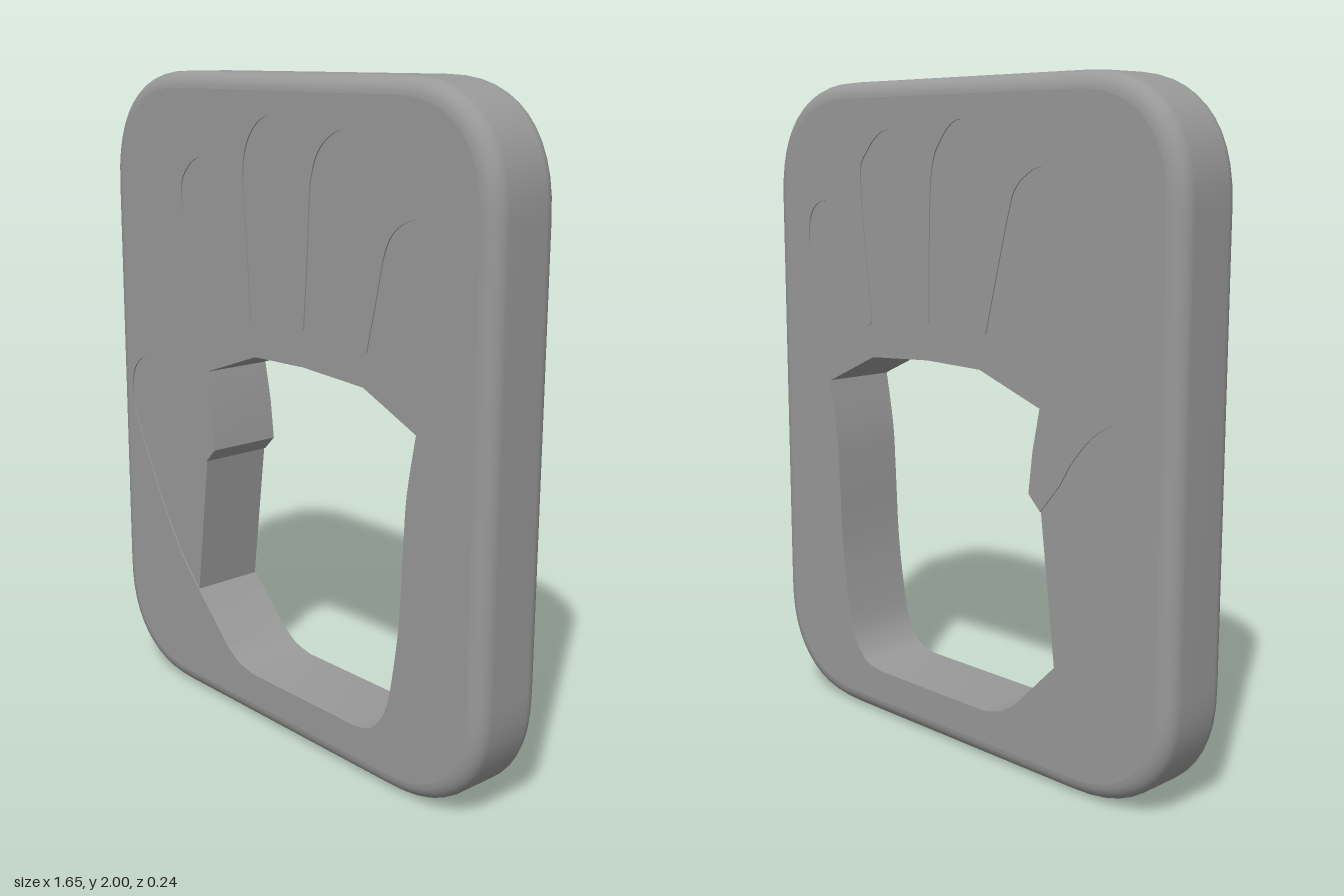
import * as THREE from 'three';
import { toCreasedNormals } from 'three/addons/utils/BufferGeometryUtils.js';

const HALF_DEPTH = 0.12, EDGE = 0.05, FLOOR = 0.116, CORNER = 0.36;
const material = new THREE.MeshStandardMaterial({ color: 0x999999 });
const toPoints = list => list.map(([x, y]) => new THREE.Vector2(x, y));
const curve = (list, n) => new THREE.SplineCurve(toPoints(list)).getPoints(n);

// Plate outline with soft, slightly full corners, counter-clockwise, shrunk by an inset
function plateOutline(inset) {
  const r = CORNER - inset, cx = 0.827 - CORNER, cy = 1 - CORNER, points = [];
  [[1, 1], [-1, 1], [-1, -1], [1, -1]].forEach(([sx, sy], k) => {
    for (let i = 0; i <= 12; i++) {
      const a = (k + i / 12) * Math.PI / 2;
      const u = Math.abs(Math.cos(a)) ** 0.83, v = Math.abs(Math.sin(a)) ** 0.83;
      points.push(new THREE.Vector2(sx * (cx + r * u), 1 + sy * (cy + r * v)));
    }
  });
  return points;
}

// Skin over closed rings of equal length, listed in order of rising z
function loft(rings) {
  const n = rings[0].points.length, position = [], index = [];
  rings.forEach(({ points, z }) => points.forEach(p => position.push(p.x, p.y, z)));
  for (let k = 0; k < rings.length - 1; k++) {
    for (let i = 0; i < n; i++) {
      const a = k * n + i, b = k * n + (i + 1) % n;
      index.push(a, b, a + n, b, b + n, a + n);
    }
  }
  const g = new THREE.BufferGeometry();
  g.setAttribute('position', new THREE.Float32BufferAttribute(position, 3));
  g.setIndex(index);
  g.computeVertexNormals();
  return g;
}

// Flat sheet facing +z (side 1) or -z (side -1)
function sheet(points, z, side, hole) {
  const shape = new THREE.Shape(points);
  if (hole) shape.holes.push(new THREE.Path(hole));
  const g = new THREE.ShapeGeometry(shape);
  if (side < 0) {
    const id = g.index.array;
    for (let i = 0; i < id.length; i += 3) [id[i], id[i + 1]] = [id[i + 1], id[i]];
  }
  g.translate(0, 0, z * side);
  g.computeVertexNormals();
  return g;
}

export function createModel() {
  const model = new THREE.Group();
  model.name = 'handPlate';
  const add = (name, geometry) => {
    const mesh = new THREE.Mesh(geometry, material);
    mesh.name = name;
    model.add(mesh);
  };

  // Through opening, clockwise: top knuckles, right and bottom, thumb side
  const knuckles = toPoints([[-0.35, 1.09], [-0.11, 1.175], [0.11, 1.18], [0.36, 1.165], [0.57, 1.07]]);
  const lower = [
    ...curve([[0.57, 1.07], [0.54, 0.9], [0.53, 0.75], [0.52, 0.55], [0.505, 0.42], [0.48, 0.28],
      [0.45, 0.21], [0.405, 0.165], [0.34, 0.15]], 32).slice(1),
    ...curve([[-0.13, 0.15], [-0.2, 0.167], [-0.26, 0.205]], 6),
    new THREE.Vector2(-0.41, 0.355)];
  const notch = toPoints([[-0.355, 0.8], [-0.31, 0.845], [-0.325, 0.97]]);
  const opening = [...knuckles, ...lower, ...notch];

  // Shallow finger and thumb outlines, joined in the same direction
  const fingers = [
    [[-0.35, 1.09], [-0.41, 1.36], [-0.46, 1.62], [-0.43, 1.71], [-0.35, 1.75], [-0.26, 1.7], [-0.22, 1.6], [-0.138, 1.28]],
    [[-0.126, 1.277], [-0.14, 1.5], [-0.155, 1.73], [-0.11, 1.84], [-0.03, 1.88], [0.045, 1.825], [0.09, 1.7], [0.1, 1.29]],
    [[0.114, 1.29], [0.13, 1.5], [0.144, 1.71], [0.19, 1.81], [0.285, 1.855], [0.375, 1.79], [0.405, 1.69], [0.36, 1.275]],
    [[0.375, 1.264], [0.41, 1.41], [0.443, 1.547], [0.49, 1.612], [0.57, 1.642], [0.638, 1.615], [0.664, 1.54], [0.645, 1.42], [0.57, 1.07]]
  ].flatMap(f => curve(f, 40));
  const thumb = curve([[-0.41, 0.355], [-0.5, 0.455], [-0.59, 0.593], [-0.69, 0.78], [-0.754, 0.93], [-0.74, 1.04],
    [-0.66, 1.09], [-0.56, 1.05], [-0.477, 0.965], [-0.425, 0.885], [-0.355, 0.8]], 50);
  const hand = [...fingers, ...lower.slice(0, -1), ...thumb, ...notch.slice(1)];

  // Rounded rim
  const rim = [];
  for (const side of [-1, 1]) {
    for (let i = 0; i <= 6; i++) {
      const a = (side < 0 ? 6 - i : i) / 6 * Math.PI / 2;
      rim.push({
        points: plateOutline(EDGE * (1 - Math.cos(a))),
        z: side * (HALF_DEPTH - EDGE + EDGE * Math.sin(a))
      });
    }
  }
  add('rim', loft(rim));

  // Walls of the through opening
  add('openingWall', toCreasedNormals(loft([
    { points: opening, z: -FLOOR }, { points: opening, z: FLOOR }]), 0.25));

  // Faces and shallow hand recess on both sides
  for (const side of [1, -1]) {
    const label = side > 0 ? 'front' : 'back';
    add(label + 'Face', sheet(plateOutline(EDGE), HALF_DEPTH, side, hand));
    add(label + 'FingerRecess', sheet([...fingers, ...knuckles.slice(1, -1).reverse()], FLOOR, side));
    add(label + 'ThumbRecess', sheet(thumb, FLOOR, side));
    const [z0, z1] = [FLOOR * side, HALF_DEPTH * side].sort((a, b) => a - b);
    add(label + 'RecessWall', toCreasedNormals(loft([
      { points: hand, z: z0 }, { points: hand, z: z1 }]), 0.5));
  }
  return model;
}
